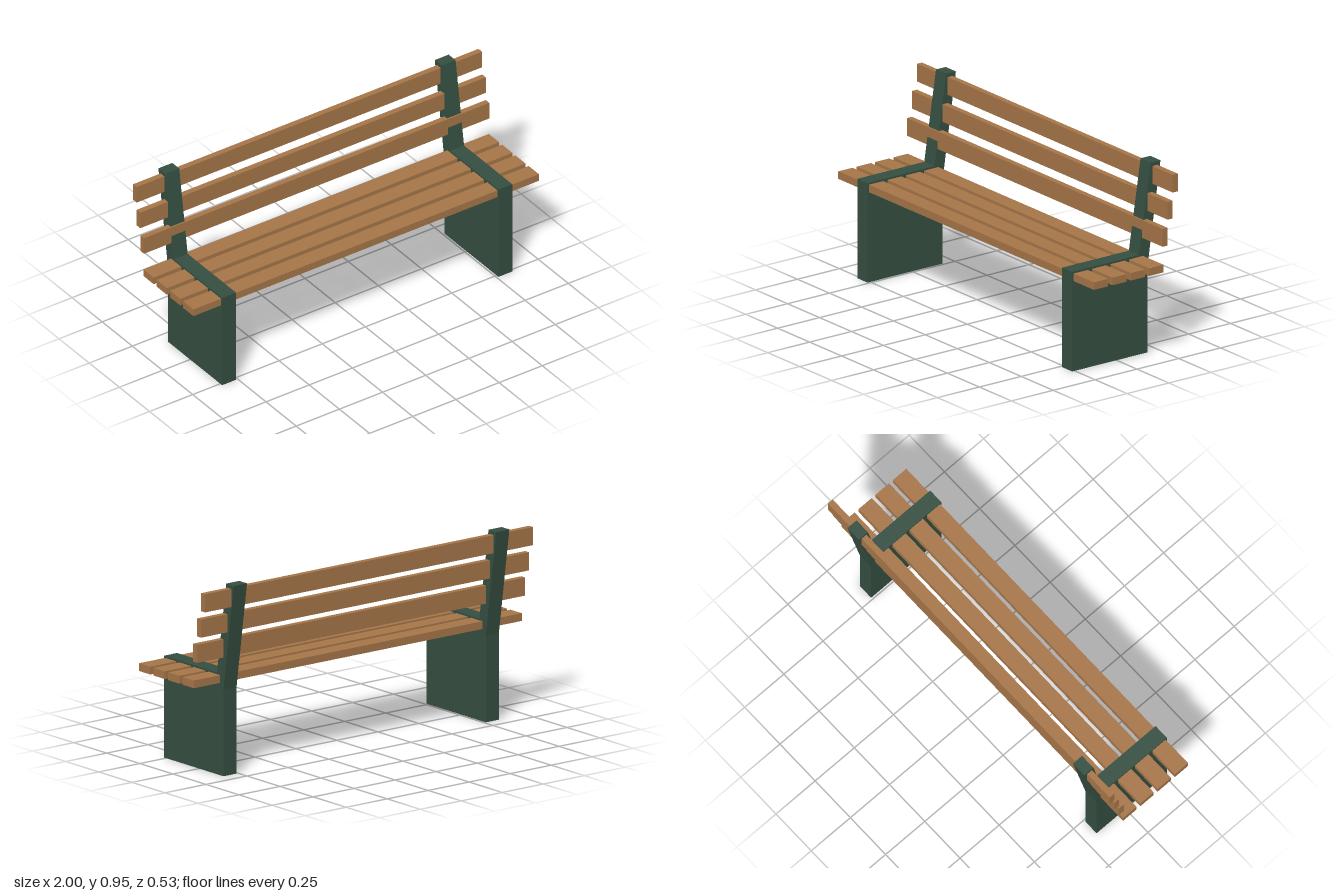
import * as THREE from 'three';

export function createModel() {
  const bench = new THREE.Group();
  bench.name = 'bench';

  const wood = new THREE.MeshStandardMaterial({ color: 0xa67548 });
  wood.name = 'brown wood';
  const iron = new THREE.MeshStandardMaterial({ color: 0x354e41 });
  iron.name = 'dark green';

  // End supports: side profile as (z, y), a solid leg panel with a leaning back post
  const profile = new THREE.Shape([
    [0.265, 0], [0.265, 0.5], [-0.135, 0.5], [-0.205, 0.95],
    [-0.263, 0.95], [-0.184, 0.425], [-0.184, 0],
  ].map(([z, y]) => new THREE.Vector2(z, y)));
  const thickness = 0.08;
  const supportGeometry = new THREE.ExtrudeGeometry(profile, { depth: thickness, bevelEnabled: false });
  supportGeometry.translate(0, 0, -thickness / 2).rotateY(-Math.PI / 2);
  for (const [name, x] of [['leftSupport', 0.8], ['rightSupport', -0.8]]) {
    const support = new THREE.Mesh(supportGeometry, iron);
    support.name = name;
    support.position.x = x;
    bench.add(support);
  }

  function addSlat(name, geometry, y, z) {
    const slat = new THREE.Mesh(geometry, wood);
    slat.name = name;
    slat.position.set(0, y, z);
    bench.add(slat);
  }

  // Seat slats, front to back
  const seatSlat = new THREE.BoxGeometry(2, 0.038, 0.085);
  for (let i = 0; i < 4; i++) addSlat(`seatSlat${i + 1}`, seatSlat, 0.472, 0.214 - i * 0.11);

  // Upright back slats, stepped to follow the lean of the posts
  const backSlat = new THREE.BoxGeometry(2, 0.089, 0.03);
  for (let i = 0; i < 3; i++) addSlat(`backSlat${i + 1}`, backSlat, 0.627 + i * 0.13, -0.169 - i * 0.03);

  return bench;
}
